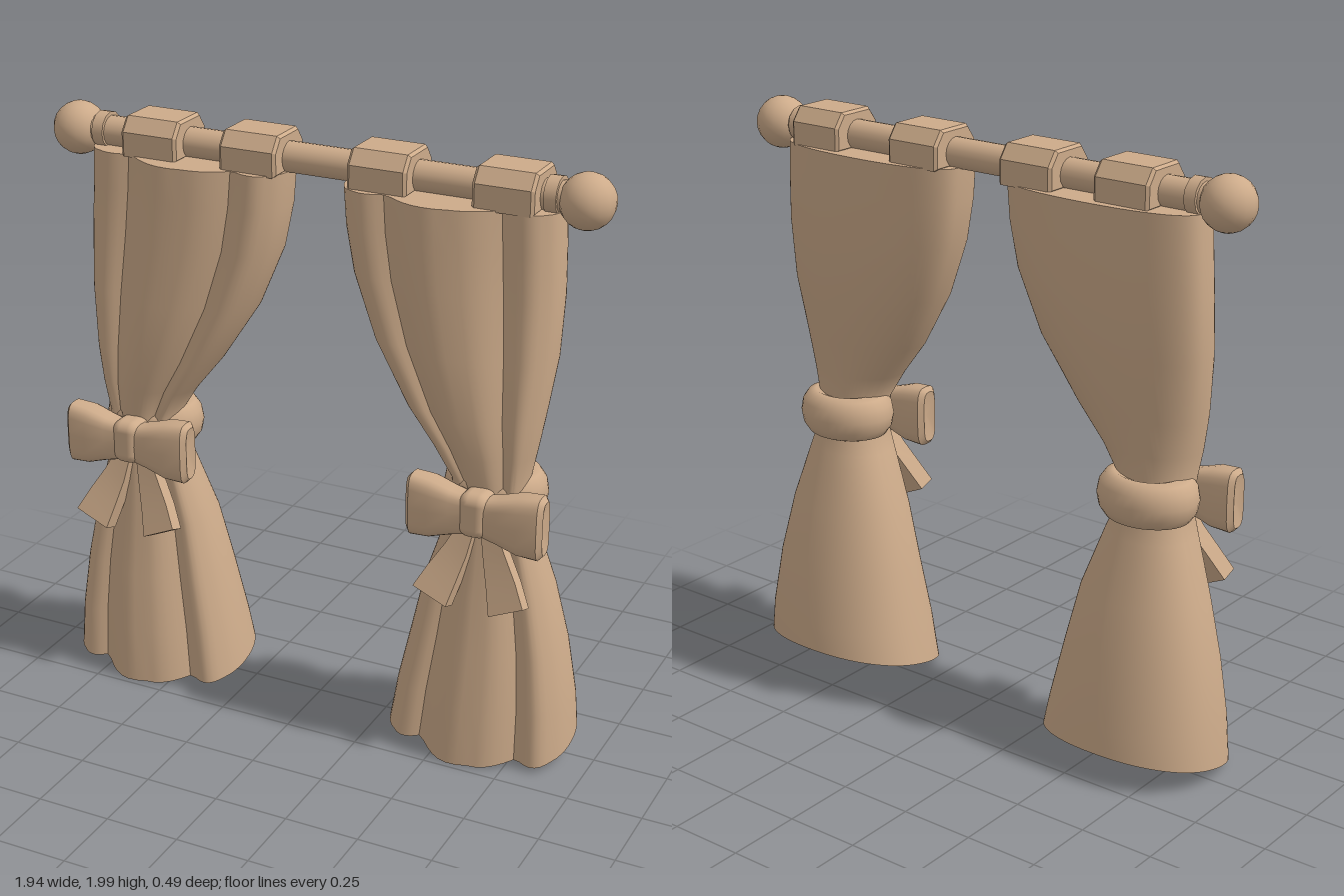
import * as THREE from 'three';
import { toCreasedNormals } from 'three/addons/utils/BufferGeometryUtils.js';
import { RoundedBoxGeometry } from 'three/addons/geometries/RoundedBoxGeometry.js';

const tan = new THREE.MeshStandardMaterial({ color: 0xcdab8a });
tan.name = 'tan cloth';

function add(parent, name, geometry, x = 0, y = 0, z = 0) {
  const mesh = new THREE.Mesh(geometry, tan);
  mesh.name = name;
  mesh.position.set(x, y, z);
  parent.add(mesh);
  return mesh;
}

// Skin rings of points (counter-clockwise about the travel direction); caps are fans to a centre point
function loft(rings, startCentre, endCentre, crease = 0.6) {
  const n = rings[0].length, index = [];
  const points = [...rings.flat(), startCentre, endCentre];
  const first = rings.length * n, last = (rings.length - 1) * n;
  for (let k = 0; k < rings.length - 1; k++) {
    for (let i = 0; i < n; i++) {
      const a = k * n + i, b = k * n + (i + 1) % n;
      index.push(a, b, a + n, b, b + n, a + n);
    }
  }
  for (let i = 0; i < n; i++) {
    const j = (i + 1) % n;
    index.push(first, j, i, first + 1, last + i, last + j);
  }
  const g = new THREE.BufferGeometry();
  g.setAttribute('position', new THREE.Float32BufferAttribute(points.flat(), 3));
  g.setIndex(index);
  return toCreasedNormals(g, crease);
}

const spow = (v, p) => Math.sign(v) * Math.abs(v) ** p;

// Curtain sections: height, outer edge, inner edge, front z, back z
const SECTIONS = [
  [1.87, 0.81, 0.10, 0.17, -0.13],
  [1.75, 0.815, 0.11, 0.175, -0.13],
  [1.60, 0.82, 0.14, 0.18, -0.13],
  [1.40, 0.815, 0.22, 0.19, -0.12],
  [1.20, 0.79, 0.345, 0.19, -0.09],
  [1.08, 0.77, 0.44, 0.175, -0.07],
  [0.98, 0.75, 0.505, 0.16, -0.06],
  [0.88, 0.75, 0.505, 0.145, -0.07],
  [0.80, 0.775, 0.475, 0.15, -0.095],
  [0.60, 0.835, 0.405, 0.17, -0.155],
  [0.40, 0.88, 0.36, 0.195, -0.20],
  [0.20, 0.91, 0.315, 0.22, -0.235],
  [0.06, 0.92, 0.29, 0.235, -0.245],
];

function curtain(side) {
  const n = 72;
  const rings = SECTIONS.map(([y, outer, inner, front, back], k) => {
    const ring = [], cx = side * (outer + inner) / 2, half = (outer - inner) / 2;
    const upper = THREE.MathUtils.smoothstep(y, 1.0, 1.8);
    const zc = THREE.MathUtils.lerp((front + back) / 2 + 0.01, 0, upper);
    for (let i = 0; i < n; i++) {
      const t = i / n * Math.PI * 2, c = Math.cos(t), s = Math.sin(t);
      const p = THREE.MathUtils.lerp(0.85, 0.65, upper);
      let z = zc + (s > 0 ? front - zc : zc - back) * spow(s, p);
      if (s > 0) {
        // three deep pleats with smaller ones between, on the front only
        const pleat = 1 - Math.abs(Math.sin(3 * t));
        const minor = 1 - Math.abs(Math.sin(6 * t + 0.5));
        const fall = 1 - 0.29 * pleat - 0.05 * minor - 0.25 * upper * Math.max(0, side * c);
        z = zc + (z - zc) * fall;
      }
      const hem = k === SECTIONS.length - 1 ? -0.22 * z : 0;
      ring.push([cx + half * spow(c, 0.9), y + hem, z]);
    }
    return ring;
  });
  return loft(rings, [side * 0.45, 1.87, 0], [side * 0.61, 0.12, 0]);
}

// Bow loops: x, half height, half depth
const BOW = [
  [-0.23, 0.09, 0.03], [-0.215, 0.106, 0.048], [-0.15, 0.1, 0.057],
  [-0.08, 0.078, 0.05], [0, 0.06, 0.04], [0.08, 0.078, 0.05],
  [0.15, 0.1, 0.057], [0.215, 0.106, 0.048], [0.23, 0.09, 0.03],
];

function bowLoops() {
  const rings = BOW.map(([x, h, d]) => Array.from({ length: 20 }, (_, i) => {
    const t = i / 20 * Math.PI * 2;
    return [x, h * spow(Math.cos(t), 0.5), d * spow(Math.sin(t), 0.6)];
  }));
  return loft(rings, [-0.215, 0, 0], [0.215, 0, 0], 0.7);
}

// Ribbon tail: centre x, y, z, half width
function bowTail(dir) {
  const path = [[0.03, 0.86, 0.14, 0.022], [0.065, 0.76, 0.16, 0.036],
    [0.10, 0.68, 0.185, 0.048], [0.13, 0.605, 0.213, 0.057]];
  const rings = path.map(([x, y, z, w]) =>
    [[1, 1], [-1, 1], [-1, -1], [1, -1]].map(([u, v]) =>
      [dir * x + u * w, y + dir * u * w * 0.45 + v * 0.01, z + v * 0.028]));
  return loft(rings, [dir * 0.03, 0.86, 0.14], [dir * 0.13, 0.605, 0.213]);
}

// Cloth tab wrapped over the rod
function tab(width) {
  const s = new THREE.Shape([[-0.1, -0.05], [0.1, -0.05], [0.1, 0.03], [0.065, 0.077],
    [-0.065, 0.077], [-0.1, 0.03]].map(([x, y]) => new THREE.Vector2(x, y)));
  const g = new THREE.ExtrudeGeometry(s, { depth: width - 0.02, bevelEnabled: true,
    bevelThickness: 0.01, bevelSize: 0.008, bevelOffset: -0.008, bevelSegments: 1 });
  return g.translate(0, 0, -(width - 0.02) / 2).rotateY(Math.PI / 2);
}

export function createModel() {
  const model = new THREE.Group();
  model.name = 'curtains';

  // Rod and round ends
  add(model, 'rod', new THREE.CylinderGeometry(0.05, 0.05, 1.72, 16).rotateZ(Math.PI / 2), 0, 1.912, 0);
  for (const side of [-1, 1]) {
    add(model, 'rodBall', new THREE.SphereGeometry(0.088, 16, 12), side * 0.88, 1.908, 0);
    add(model, 'rodCollar', new THREE.CylinderGeometry(0.06, 0.06, 0.04, 12).rotateZ(Math.PI / 2),
      side * 0.78, 1.915, 0);

    const panel = new THREE.Group();
    panel.name = side > 0 ? 'leftCurtain' : 'rightCurtain';
    model.add(panel);
    add(panel, 'drape', curtain(side));
    add(panel, 'innerTab', tab(0.2), side > 0 ? 0.235 : -0.21, 1.915, 0);
    add(panel, 'outerTab', tab(0.2), side > 0 ? 0.648 : -0.565, 1.915, 0);

    // Tie around the waist
    const band = new THREE.TorusGeometry(0.115, 0.056, 12, 32).rotateX(Math.PI / 2).scale(1, 1.4, 0.84);
    add(panel, 'tieBand', band, side * 0.625, 0.93, 0.005);

    // Bow
    const bow = new THREE.Group();
    bow.name = 'bow';
    bow.position.x = side > 0 ? 0.632 : -0.62;
    panel.add(bow);
    add(bow, 'bowLoops', bowLoops(), 0, 0.905, 0.18);
    add(bow, 'bowKnot', new RoundedBoxGeometry(0.1, 0.15, 0.11, 3, 0.035), 0, 0.912, 0.178);
    for (const dir of [-1, 1]) add(bow, 'bowTail', bowTail(dir));
  }
  return model;
}
